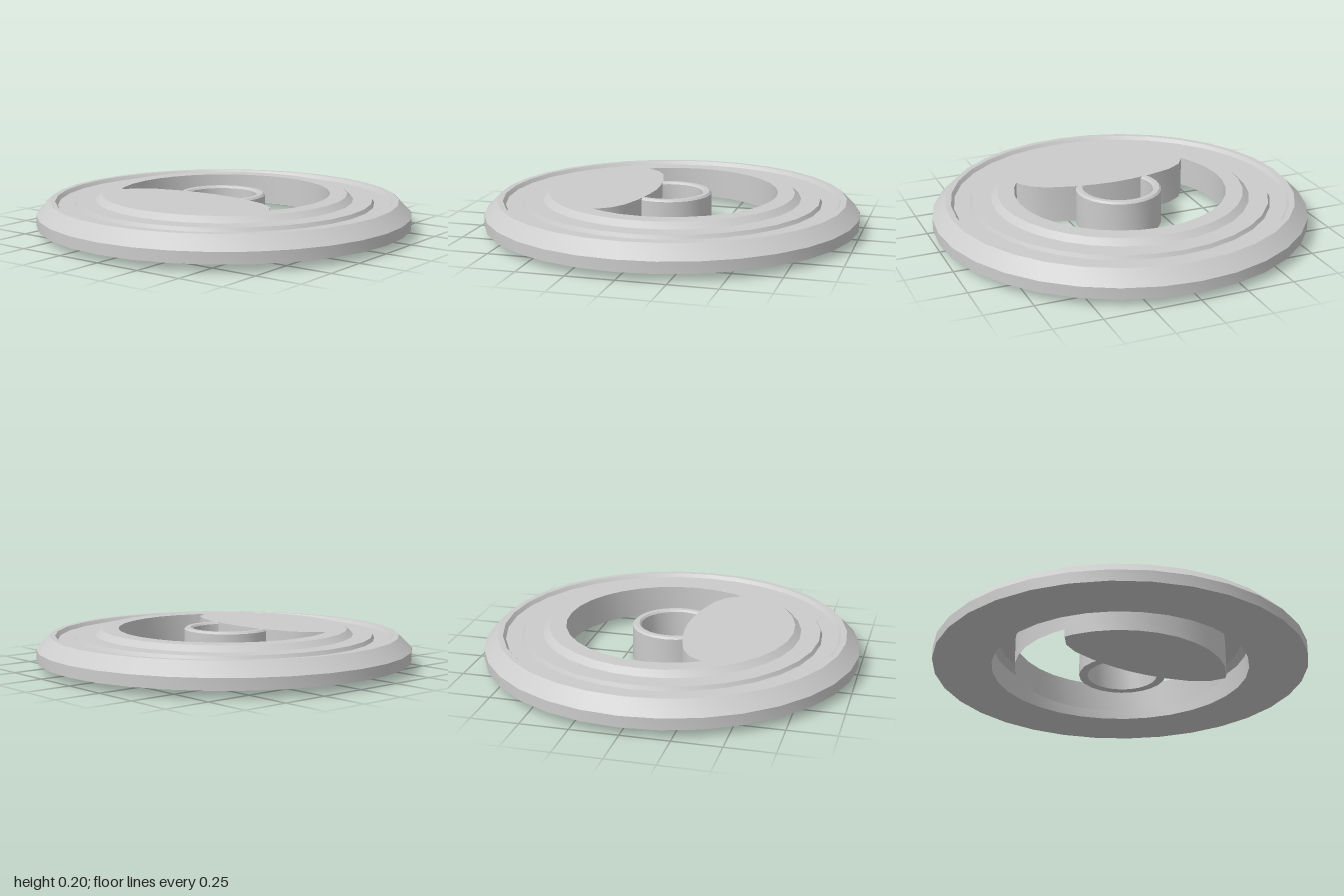
import * as THREE from 'three';
import { toCreasedNormals } from 'three/addons/utils/BufferGeometryUtils.js';

const SIDES = 32;
const BORE = 0.565;
const TOP = 0.2;

export function createModel() {
  const group = new THREE.Group();
  const material = new THREE.MeshStandardMaterial({ color: 0xcccccc, side: THREE.DoubleSide });

  const add = (name, geometry) => {
    const mesh = new THREE.Mesh(toCreasedNormals(geometry, 0.45), material);
    mesh.name = name;
    group.add(mesh);
    return mesh;
  };
  const lathe = (name, profile, sides) =>
    add(name, new THREE.LatheGeometry(profile.map(([r, y]) => new THREE.Vector2(r, y)), sides));

  // Rim: flat underside, bevelled edge, shallow groove, raised lip and thin bore wall
  lathe('outerRing', [
    [0.688, 0.17], [0.688, 0.04], [1, 0.04], [1, 0.1], [0.93, 0.17],
    [0.9, 0.17], [0.885, 0.15], [0.8, 0.15], [0.79, 0.17], [0.688, 0.17],
    [0.655, TOP], [BORE, TOP], [BORE, 0.04],
  ], SIDES);

  // Central hub: open tube with chamfered top edges
  lathe('hub', [
    [0.185, 0], [0.23, 0], [0.23, 0.19], [0.22, TOP],
    [0.195, TOP], [0.185, 0.19], [0.185, 0],
  ], 24).position.x = -0.02;

  // Web: lens-shaped block joining the hub to the bore wall
  const inner = [
    [-0.275, 0.49], [-0.2, 0.44], [-0.15, 0.36], [-0.11, 0.22], [-0.092, 0.1],
  ];
  const outline = [
    ...inner, [-0.086, 0],
    ...inner.map(([x, z]) => [x, -z]).reverse(),
  ];
  for (let i = 21; i >= 11; i--) {
    const a = (i / SIDES) * Math.PI * 2;
    outline.push([BORE * Math.cos(a), BORE * Math.sin(a)]);
  }
  const shape = new THREE.Shape(outline.map(([x, z]) => new THREE.Vector2(x, z)));
  const web = new THREE.ExtrudeGeometry(shape, { depth: TOP, bevelEnabled: false });
  web.rotateX(-Math.PI / 2);
  add('web', web);

  return group;
}
